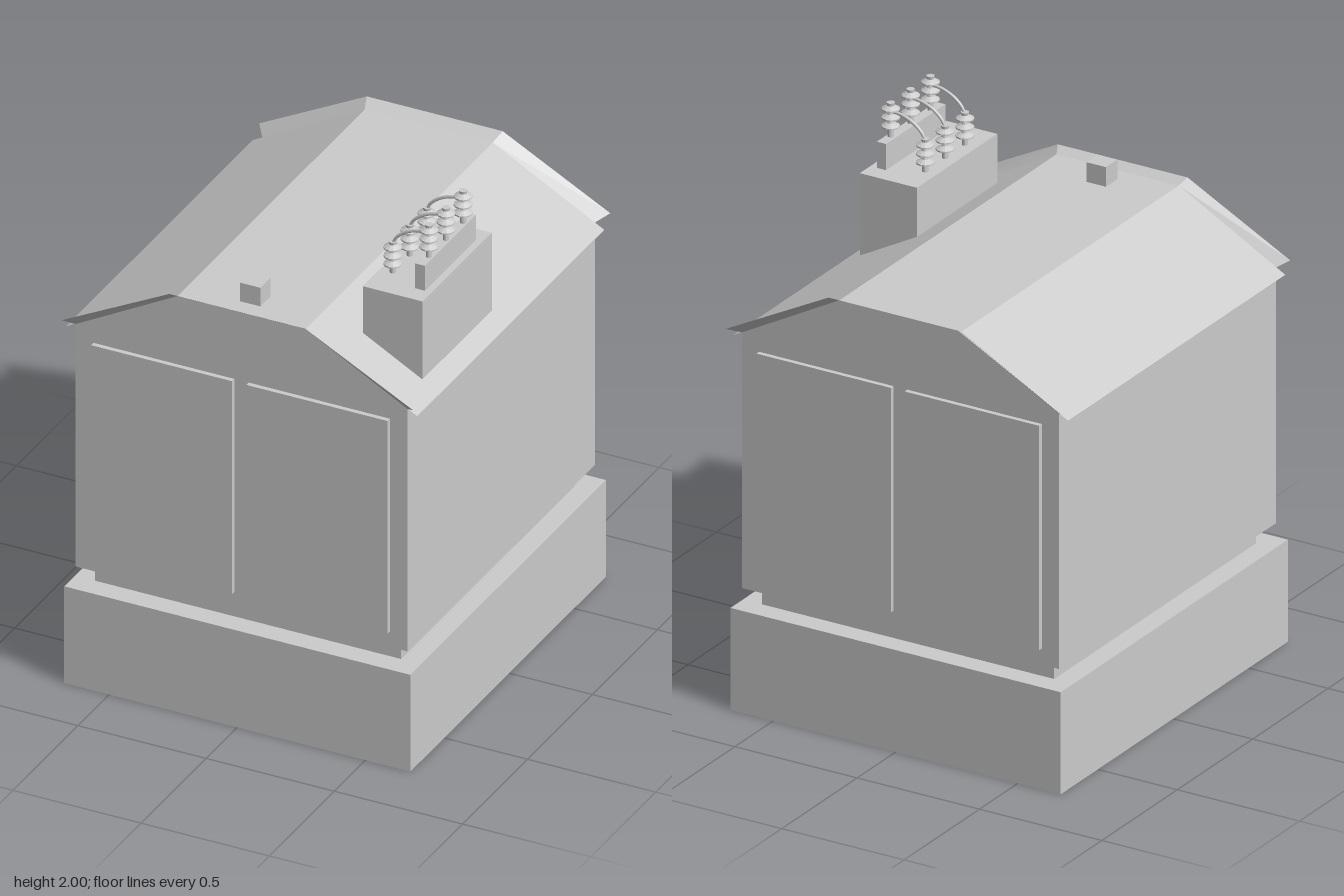
import * as THREE from 'three';

const grey = new THREE.MeshStandardMaterial({ color: 0xcccccc, side: THREE.DoubleSide });
grey.name = 'light grey';

function part(name, geometry, parent) {
  const mesh = new THREE.Mesh(geometry, grey);
  mesh.name = name;
  parent.add(mesh);
  return mesh;
}

function box(name, x0, x1, y0, y1, z0, z1, parent) {
  const mesh = part(name, new THREE.BoxGeometry(x1 - x0, y1 - y0, z1 - z0), parent);
  mesh.position.set((x0 + x1) / 2, (y0 + y1) / 2, (z0 + z1) / 2);
  return mesh;
}

// Flat-shaded skin stretched over successive rows of points
function skin(rows, closed = false) {
  const pos = [];
  for (let i = 0; i < rows.length - 1; i++) {
    const n = rows[i].length;
    for (let j = 0; j < (closed ? n : n - 1); j++) {
      const k = (j + 1) % n;
      const a = rows[i][j], b = rows[i][k], c = rows[i + 1][k], d = rows[i + 1][j];
      pos.push(...a, ...b, ...c, ...a, ...c, ...d);
    }
  }
  const g = new THREE.BufferGeometry();
  g.setAttribute('position', new THREE.Float32BufferAttribute(pos, 3));
  g.computeVertexNormals();
  return g;
}

// Rectangular ring seen from above
const ring = (x, y, zf, zb) => [[-x, y, zf], [x, y, zf], [x, y, zb], [-x, y, zb]];

const FRONT = 0.727, BACK = -0.713, WALL = 0.648, FLOOR = 0.46, EAVE = 1.437, TOP = 1.655;
const DOOR = { x0: 0.028, x1: 0.578, y0: 0.522, y1: 1.38, depth: 0.018 };

// Four-point gable line, left to right
const gable = (eaveX, eaveY, topX, topY, z) =>
  [[-eaveX, eaveY, z], [-topX, topY, z], [topX, topY, z], [eaveX, eaveY, z]];

// Gable wall with two raised door panels, facing +z
function endWall(name) {
  const g = new THREE.Group();
  g.name = name;
  const pts = (list) => list.map(([x, y]) => new THREE.Vector2(x, y));
  const wall = new THREE.Shape(pts([
    [-WALL, FLOOR], [WALL, FLOOR], [WALL, EAVE], [0.25, TOP], [-0.25, TOP], [-WALL, EAVE],
  ]));
  for (const s of [-1, 1]) {
    const xa = Math.min(s * DOOR.x0, s * DOOR.x1), xb = Math.max(s * DOOR.x0, s * DOOR.x1);
    const corners = [[xa, DOOR.y0], [xb, DOOR.y0], [xb, DOOR.y1], [xa, DOOR.y1]];
    wall.holes.push(new THREE.Path(pts(corners)));
    const at = (z) => corners.map(([x, y]) => [x, y, z]);
    part('doorRim', skin([at(0), at(DOOR.depth)], true), g);
    part('doorPanel', new THREE.ShapeGeometry(new THREE.Shape(pts(corners))), g).position.z = DOOR.depth;
  }
  part('gableWall', new THREE.ShapeGeometry(wall), g);
  return g;
}

// Ribbed insulator: a stem with three bevelled discs
function insulatorGeometry() {
  const profile = [[0, 0], [0.011, 0]];
  for (const y of [0.04, 0.073, 0.106]) {
    profile.push([0.011, y - 0.012], [0.033, y - 0.003], [0.033, y + 0.002], [0.013, y + 0.013]);
  }
  profile.push([0.015, 0.13], [0, 0.13]);
  return new THREE.LatheGeometry(profile.map(([r, y]) => new THREE.Vector2(r, y)), 12).toNonIndexed();
}

export function createModel() {
  const model = new THREE.Group();
  model.name = 'substation';

  // Hollow foundation, stepped in to a plinth and out to the walls
  part('foundation', skin([
    ring(0.675, 0, 0.76, -0.745), ring(0.675, 0.39, 0.76, -0.745),
    ring(0.597, 0.39, 0.677, -0.662), ring(0.597, FLOOR, 0.677, -0.662),
    ring(WALL, FLOOR, FRONT, BACK),
  ], true), model);

  // Walls
  for (const s of [-1, 1]) {
    const x = s * WALL, za = s > 0 ? FRONT : BACK, zb = s > 0 ? BACK : FRONT;
    part('sideWall', skin([
      [[x, FLOOR, za], [x, FLOOR, zb]], [[x, EAVE, za], [x, EAVE, zb]],
    ]), model);
  }
  endWall('frontWall');
  const front = endWall('frontWall');
  front.position.z = FRONT;
  const back = endWall('backWall');
  back.position.z = BACK;
  back.rotation.y = Math.PI;
  model.add(front, back);

  // Roof sheet with eaves, and flared lips at both gables
  part('roof', skin([
    gable(0.685, 1.418, 0.25, TOP, FRONT), gable(0.685, 1.418, 0.25, TOP, BACK),
  ]), model);
  part('frontRoofLip', skin([
    gable(0.685, 1.46, 0.265, 1.677, 0.76), gable(WALL, EAVE, 0.25, TOP, FRONT),
  ]), model);
  part('backRoofLip', skin([
    gable(WALL, EAVE, 0.25, TOP, BACK), gable(0.685, 1.46, 0.265, 1.68, -0.76),
  ]), model);

  // Roof vent and terminal box
  box('roofVent', -0.04, 0.04, 1.65, 1.73, 0.585, 0.66, model);
  box('terminalBox', 0.383, 0.617, 1.457, 1.77, 0.018, 0.55, model);
  box('terminalRail', 0.552, 0.59, 1.77, 1.87, 0.087, 0.48, model);

  // Insulator pairs joined by cables
  const insulator = insulatorGeometry();
  insulator.computeVertexNormals();
  for (const z of [0.152, 0.284, 0.415]) {
    part('lowerInsulator', insulator, model).position.set(0.432, 1.765, z);
    part('upperInsulator', insulator, model).position.set(0.573, 1.87, z);
    const path = new THREE.CatmullRomCurve3([
      [0.432, 1.885], [0.445, 1.912], [0.48, 1.942], [0.525, 1.961], [0.573, 1.967],
    ].map(([x, y]) => new THREE.Vector3(x, y, z)));
    part('cable', new THREE.TubeGeometry(path, 12, 0.006, 6), model);
  }
  return model;
}
